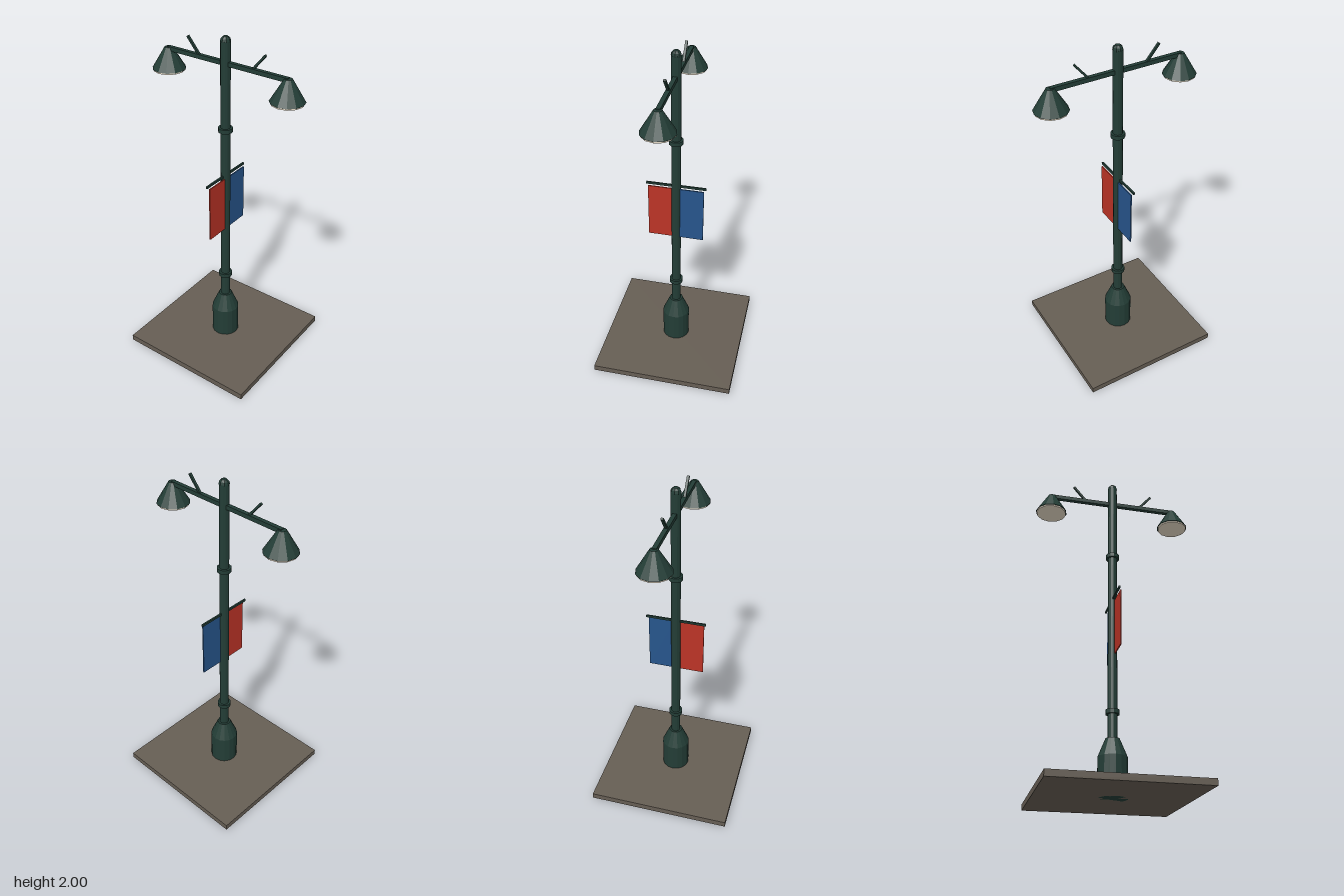
import * as THREE from 'three';

const makeMaterial = (name, color) => {
  const m = new THREE.MeshStandardMaterial({ color, flatShading: true });
  m.name = name;
  return m;
};

export function createModel() {
  const green = makeMaterial('dark green metal', 0x233d36);
  const stone = makeMaterial('paving stone', 0x665e54);
  const red = makeMaterial('red cloth', 0xbc3326);
  const blue = makeMaterial('blue cloth', 0x27558c);
  const glass = makeMaterial('warm lens', 0xe8dcc8);

  const group = new THREE.Group();
  group.name = 'streetLamp';

  const add = (name, geometry, material, x = 0, y = 0, z = 0) => {
    const mesh = new THREE.Mesh(geometry, material);
    mesh.name = name;
    mesh.position.set(x, y, z);
    group.add(mesh);
    return mesh;
  };
  const box = (name, w, h, d, material, x, y, z) =>
    add(name, new THREE.BoxGeometry(w, h, d), material, x, y, z);
  // Tapered drum given by its bottom and top heights
  const drum = (name, rTop, rBottom, y0, y1, sides, material, x = 0) =>
    add(name, new THREE.CylinderGeometry(rTop, rBottom, y1 - y0, sides), material, x, (y0 + y1) / 2);

  // Ground slab and pedestal
  box('groundSlab', 0.856, 0.036, 0.856, stone, 0, 0.018, 0);
  drum('pedestal', 0.083, 0.083, 0, 0.222, 16, green);
  drum('pedestalTaper', 0.04, 0.083, 0.222, 0.325, 16, green);

  // Pole, collars and finial
  drum('pole', 0.028, 0.028, 0.3, 1.972, 12, green);
  for (const y of [0.476, 1.466]) drum('collar', 0.041, 0.041, y - 0.0125, y + 0.0125, 12, green);
  add('finial', new THREE.SphereGeometry(0.029, 8, 6), green, 0, 1.971);

  // Cross arm
  box('crossArm', 0.776, 0.024, 0.024, green, 0, 1.85, 0);

  for (const side of [-1, 1]) {
    // Lamp shade with its lens
    drum('lampShade', 0.022, 0.095, 1.735, 1.857, 12, green, side * 0.388);
    drum('lampLens', 0.09, 0.09, 1.726, 1.737, 12, glass, side * 0.388);
    // Slanted spur on the arm
    const spur = box('armSpur', 0.012, 0.122, 0.014, green, side * 0.21, 1.9, 0);
    spur.rotation.z = -side * 0.70;
    // Banner, red to the front and blue to the back
    box('banner', 0.007, 0.34, 0.149, side > 0 ? red : blue, 0.01, 0.992, side * 0.0895);
  }
  box('bannerRod', 0.01, 0.013, 0.352, green, 0, 1.175, 0);

  return group;
}
